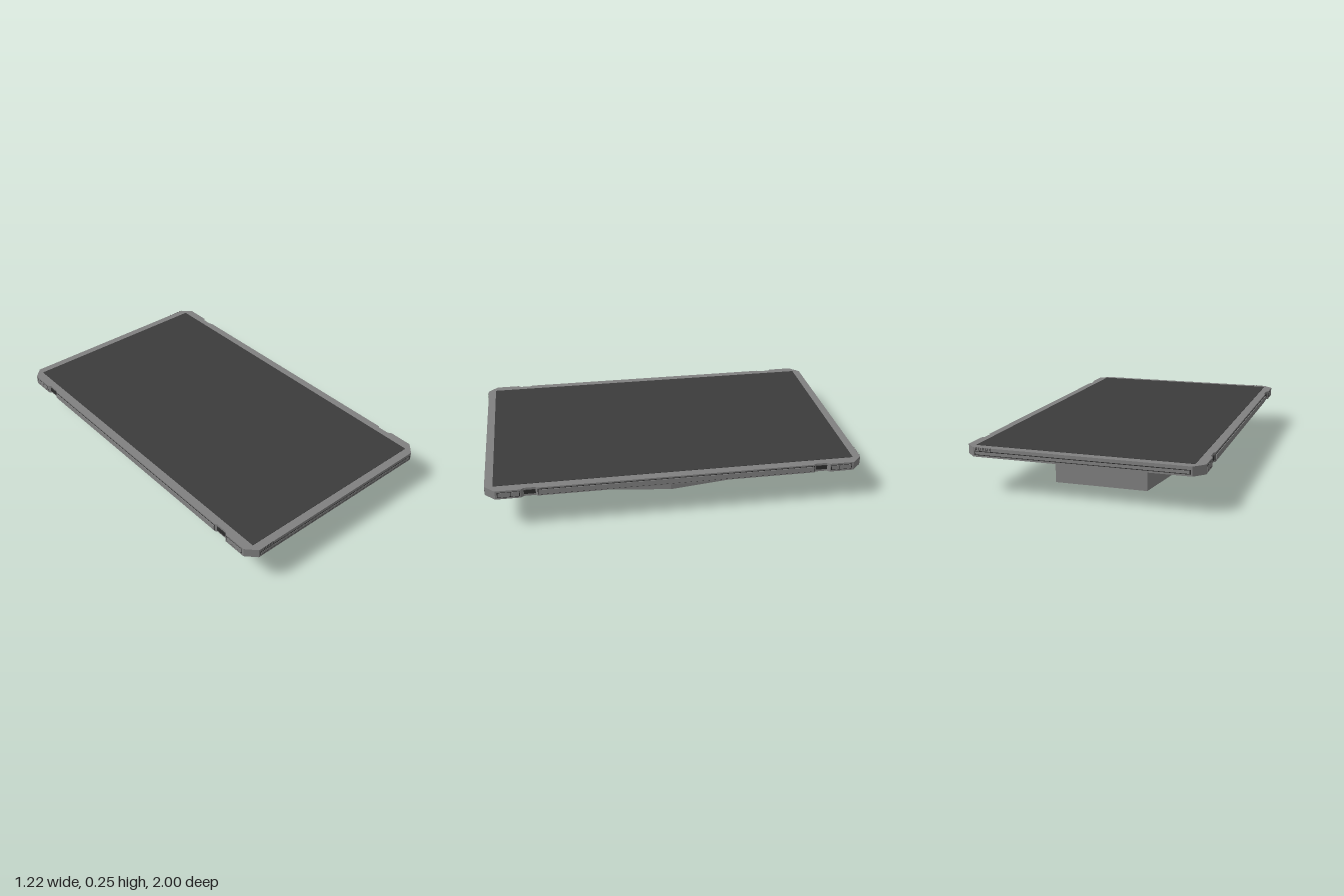
import * as THREE from 'three';

export function createModel() {
  const model = new THREE.Group();
  const mat = (name, color, side = THREE.FrontSide) => {
    const m = new THREE.MeshStandardMaterial({ color, side });
    m.name = name;
    return m;
  };
  const casing = mat('casing grey', 0x808080, THREE.DoubleSide);
  const glass = mat('screen charcoal', 0x3c3c3c);
  const dark = mat('seam dark', 0x2c2c2c);

  const add = (name, geometry, material, parent = model) => {
    const mesh = new THREE.Mesh(geometry, material);
    mesh.name = name;
    parent.add(mesh);
    return mesh;
  };
  const box = (name, size, pos, material, parent) =>
    add(name, new THREE.BoxGeometry(...size), material, parent).position.set(...pos);

  // Flat casing: one quarter of the outline, with the side notch, mirrored round
  const quarter = [[0.605, 0], [0.605, 0.73], [0.597, 0.74], [0.597, 0.8],
    [0.61, 0.815], [0.61, 0.945], [0.558, 0.998]];
  const back = quarter.slice(1).reverse();
  const outline = [
    ...quarter,
    ...back.map(([x, z]) => [-x, z]),
    ...quarter.map(([x, z]) => [-x, -z]),
    ...back.map(([x, z]) => [x, -z]),
  ].map(([x, z]) => new THREE.Vector2(x, z));
  const slab = new THREE.ExtrudeGeometry(new THREE.Shape(outline), { depth: 0.048, bevelEnabled: false });
  slab.rotateX(-Math.PI / 2).translate(0, 0.195, 0);
  add('casing', slab, casing);

  // Screen set into the top
  box('screen', [1.12, 0.004, 1.91], [0, 0.243, 0], glass);

  // Hexagonal stand: an open band, without top or bottom
  const hex = [[0.25, 0.695], [0.35, 0], [0.25, -0.695], [-0.25, -0.695], [-0.35, 0], [-0.25, 0.695]];
  const stand = new THREE.Group();
  stand.name = 'stand';
  model.add(stand);
  hex.forEach(([x, z], i) => {
    const [x2, z2] = hex[(i + 1) % 6];
    const wall = new THREE.PlaneGeometry(Math.hypot(x2 - x, z2 - z), 0.195);
    wall.rotateY(Math.atan2(z - z2, x2 - x));
    wall.translate((x + x2) / 2, 0.0975, (z + z2) / 2);
    add('standWall', wall, casing, stand);
  });

  // Edge details, repeated at both ends by a half turn
  for (const turn of [0, Math.PI]) {
    const end = new THREE.Group();
    end.name = turn ? 'backEdge' : 'frontEdge';
    end.rotation.y = turn;
    model.add(end);

    // Long slot with its cover strip
    box('slotSeam', [1.1, 0.022, 0.004], [0, 0.215, 0.997], dark, end);
    box('slotCover', [1.09, 0.015, 0.004], [0, 0.215, 0.998], casing, end);
    // Small vents on the upper lip
    for (let i = 0; i < 5; i++) {
      const x = -0.54 + i * 0.019;
      box('vent', [0.011, 0.013, 0.004], [x, 0.2365, 0.997], dark, end);
      box('ventCentre', [0.006, 0.013, 0.004], [x, 0.2385, 0.998], casing, end);
    }
    // Side rail
    box('railSeam', [0.004, 0.034, 1.46], [0.604, 0.218, 0], dark, end);
    box('rail', [0.008, 0.027, 1.452], [0.606, 0.218, 0], casing, end);
    // Side notches and corner bumper panels
    for (const s of [-1, 1]) {
      box('notchPad', [0.008, 0.022, 0.06], [0.598, 0.22, 0.77 * s], dark, end);
      for (const z of [0.845, 0.9]) {
        const w = z > 0.87 ? 0.07 : 0.05;
        box('bumperSeam', [0.003, 0.03, w], [0.609, 0.219, z * s], dark, end);
        box('bumperPanel', [0.003, 0.025, w - 0.008], [0.61, 0.219, z * s], casing, end);
      }
    }
  }
  return model;
}
